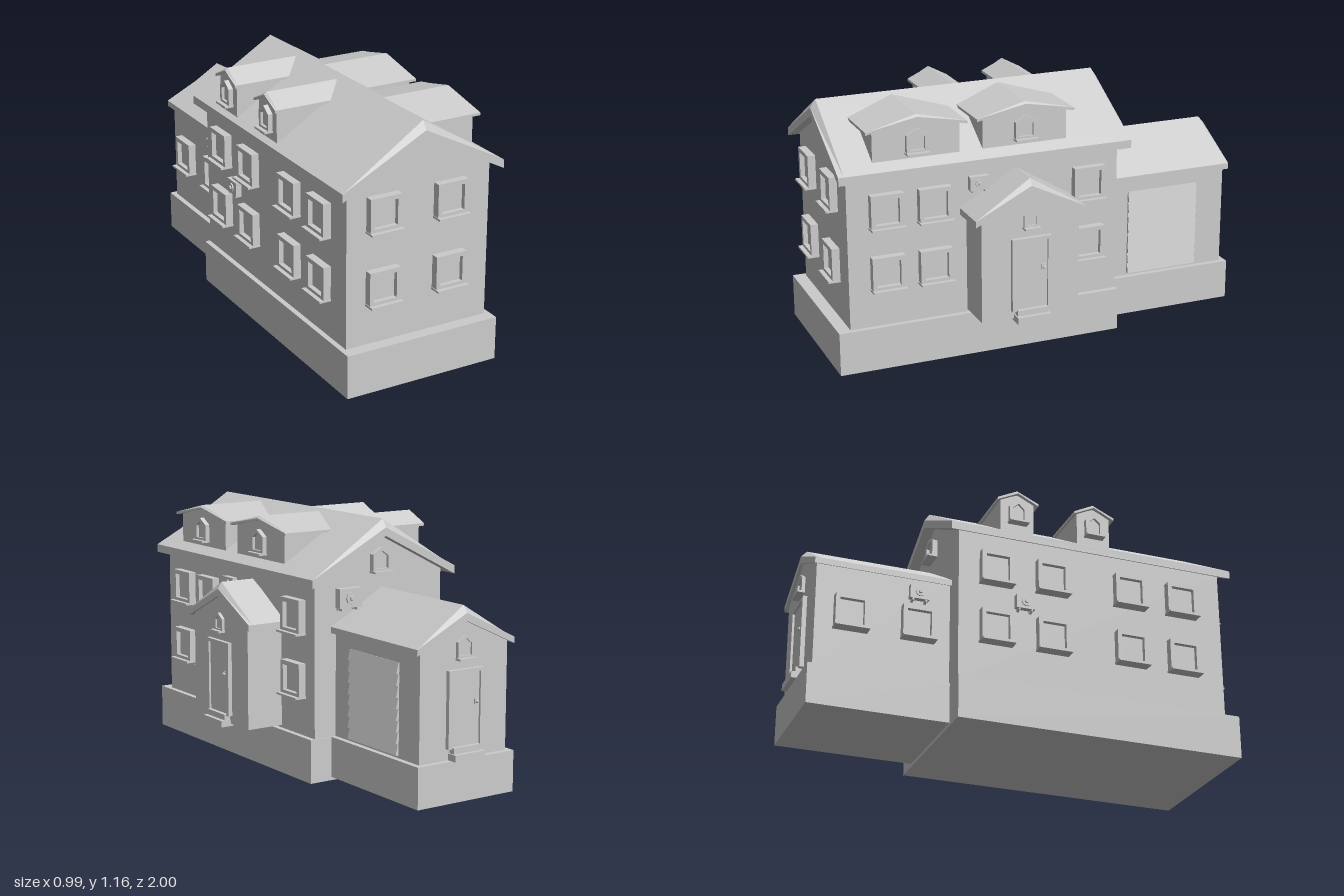
import * as THREE from 'three';

const mat = new THREE.MeshStandardMaterial({ color: 0xcccccc, flatShading: true });

function add(parent, name, geo, x = 0, y = 0, z = 0) {
  const m = new THREE.Mesh(geo, mat);
  m.name = name;
  m.position.set(x, y, z);
  parent.add(m);
  return m;
}

// Box given by width, bottom, top and its z range
function slab(parent, name, x, w, y0, y1, z0, z1) {
  return add(parent, name, new THREE.BoxGeometry(w, y1 - y0, z1 - z0), x, (y0 + y1) / 2, (z0 + z1) / 2);
}

const extrude = (shape, depth) => new THREE.ExtrudeGeometry(shape, { depth, bevelEnabled: false });

// Five-sided outline: rectangle with a pointed top (flat when shoulder equals peak)
function outline(hw, y0, shoulder, peak) {
  return [[-hw, y0], [hw, y0], [hw, shoulder], [0, peak], [-hw, shoulder]].map(p => new THREE.Vector2(...p));
}

function gableWalls(parent, name, hw, y0, shoulder, peak, z0, z1) {
  add(parent, name, extrude(new THREE.Shape(outline(hw, y0, shoulder, peak)), z1 - z0), 0, 0, z0);
}

// Pitched roof slab along z, its top bevelled down towards both ends
function roof(parent, name, hw, eave0, eave1, under, ridge, drop, bevel, z0, z1) {
  const section = (z, d) => [
    [-hw, eave0, z], [0, under, z], [hw, eave0, z], [hw, eave1, z], [0, ridge - d, z], [-hw, eave1, z]];
  const rings = [section(z0, drop), section(z0 + bevel, 0), section(z1 - bevel, 0), section(z1, drop)];
  const pos = rings.flat(2), idx = [];
  for (let r = 0; r < 3; r++) {
    for (let i = 0; i < 6; i++) {
      const a = r * 6 + i, b = r * 6 + (i + 1) % 6;
      idx.push(a, b, b + 6, a, b + 6, a + 6);
    }
  }
  for (const [a, b, c] of [[0, 1, 4], [0, 4, 5], [1, 2, 3], [1, 3, 4]]) {
    idx.push(a + 18, b + 18, c + 18, c, b, a);
  }
  let geo = new THREE.BufferGeometry();
  geo.setAttribute('position', new THREE.Float32BufferAttribute(pos, 3));
  geo.setIndex(idx);
  geo = geo.toNonIndexed();
  geo.computeVertexNormals();
  add(parent, name, geo);
}

// Framed window with recessed pane and sill, built outward along +z
function windowUnit(parent, name, x, y0, w, h, rise, rim = 0.02, depth = 0.036) {
  const g = new THREE.Group();
  g.name = name;
  g.position.set(x, y0, 0);
  const frame = new THREE.Shape(outline(w / 2, 0, h - rise, h));
  const inner = outline(w / 2 - rim, rim, h - rise - rim * (rise ? 0.6 : 1), h - rim);
  frame.holes.push(new THREE.Path(inner));
  add(g, 'windowFrame', extrude(frame, depth + 0.01), 0, 0, -0.01);
  add(g, 'windowPane', extrude(new THREE.Shape(inner), depth * 0.4 + 0.01), 0, 0, -0.01);
  slab(g, 'windowSill', 0, w + 0.006, -0.003, 0.006, -0.01, depth + 0.02);
  parent.add(g);
}

const squareWindow = (p, x, yMid) => windowUnit(p, 'window', x, yMid - 0.078, 0.15, 0.156, 0);

// Door with frame, panel, knob and two steps
function door(parent, x) {
  const g = new THREE.Group();
  g.name = 'door';
  g.position.x = x;
  const frame = new THREE.Shape(outline(0.094, 0.25, 0.59, 0.59));
  frame.holes.push(new THREE.Path(outline(0.076, 0.255, 0.575, 0.575)));
  add(g, 'doorFrame', extrude(frame, 0.03), 0, 0, -0.01);
  slab(g, 'doorPanel', 0, 0.156, 0.252, 0.578, -0.01, 0.01);
  slab(g, 'knobPlate', 0.058, 0.02, 0.43, 0.455, 0.008, 0.016);
  add(g, 'doorKnob', new THREE.IcosahedronGeometry(0.009, 0), 0.058, 0.443, 0.02);
  slab(g, 'lowerStep', 0, 0.16, 0.2, 0.23, -0.015, 0.05);
  slab(g, 'upperStep', 0, 0.146, 0.228, 0.256, -0.01, 0.03);
  parent.add(g);
}

// Wall-mounted fan unit
function fanUnit(parent, x, y) {
  const g = new THREE.Group();
  g.name = 'fanUnit';
  g.position.set(x, y, 0);
  slab(g, 'fanHousing', 0, 0.088, -0.03, 0.034, 0.006, 0.032);
  const ring = add(g, 'fanRing', new THREE.CylinderGeometry(0.021, 0.021, 0.008, 8), 0, 0.002, 0.034);
  ring.rotation.x = Math.PI / 2;
  const hub = add(g, 'fanHub', new THREE.CylinderGeometry(0.008, 0.01, 0.008, 6), 0, 0.002, 0.041);
  hub.rotation.x = Math.PI / 2;
  for (const s of [-1, 1]) {
    slab(g, 'fanBracket', s * 0.03, 0.008, -0.04, -0.03, -0.01, 0.03);
    slab(g, 'wallMount', s * 0.03, 0.012, -0.04, 0.02, -0.01, 0.008);
  }
  parent.add(g);
}

// Dormer facing local +z; origin on its centre line
function dormer(parent, z, hw, roofHw, front, back, eave, peak, win) {
  const g = new THREE.Group();
  g.name = 'dormer';
  g.position.x = z;
  gableWalls(g, 'dormerWalls', hw, 0.93, eave + 0.01, peak - 0.02, back, front);
  roof(g, 'dormerRoof', roofHw, eave - 0.004, eave + 0.008, peak - 0.018, peak, 0.01, 0.012, back, front + 0.017);
  const face = new THREE.Group();
  face.name = 'dormerFace';
  face.position.z = front;
  windowUnit(face, 'dormerWindow', 0, 0.98, win, 0.112, 0.03, 0.016, 0.022);
  g.add(face);
  parent.add(g);
}

export function createModel() {
  const house = new THREE.Group();
  house.name = 'house';
  const cx = -0.083;

  // A wall plane: local +z points out of the wall
  const wall = (name, angle, x, z) => {
    const g = new THREE.Group();
    g.name = name;
    g.position.set(x, 0, z);
    g.rotation.y = angle;
    house.add(g);
    return g;
  };
  const R = Math.PI / 2;

  // Main block
  slab(house, 'mainFoundation', cx, 0.745, 0, 0.2, -0.345, 1);
  const main = wall('mainBlock', 0, cx, 0);
  gableWalls(main, 'mainWalls', 0.348, 0.19, 0.912, 1.095, -0.34, 0.942);
  roof(main, 'mainRoof', 0.392, 0.887, 0.925, 1.09, 1.165, 0.037, 0.025, -0.39, 0.985);

  // Rear extension
  slab(house, 'extensionFoundation', cx, 0.52, 0.015, 0.2, -0.98, -0.34);
  const ext = wall('extension', 0, cx, 0);
  gableWalls(ext, 'extensionWalls', 0.235, 0.19, 0.688, 0.8, -0.953, -0.33);
  roof(ext, 'extensionRoof', 0.262, 0.672, 0.7, 0.795, 0.86, 0.03, 0.027, -0.968, -0.33);

  // Porch
  const porch = wall('porch', R, 0, 0.16);
  gableWalls(porch, 'porchWalls', 0.232, 0.212, 0.69, 0.8, 0.25, 0.445);
  roof(porch, 'porchRoof', 0.262, 0.668, 0.698, 0.795, 0.858, 0.03, 0.02, 0.25, 0.458);
  const porchFace = wall('porchFace', R, 0.445, 0.16);
  door(porchFace, 0);
  windowUnit(porchFace, 'gableWindow', 0, 0.632, 0.07, 0.085, 0.025, 0.013, 0.015);

  // Windows and fans on the main walls
  const front = wall('frontFace', 0, 0, 0.942);
  const right = wall('sideFaceWithPorch', R, 0.265, 0);
  const left = wall('plainSideFace', -R, -0.431, 0);
  for (const y of [0.463, 0.793]) for (const x of [-0.262, 0.065]) squareWindow(front, x, y);
  for (const y of [0.453, 0.74]) {
    for (const z of [0.767, 0.545, -0.192]) squareWindow(right, -z, y);
    for (const z of [-0.167, 0.1, 0.48, 0.74]) squareWindow(left, z, y);
  }
  fanUnit(right, -0.34, 0.81);
  fanUnit(left, -0.035, 0.59);

  // Back gable of the main block
  const back = wall('mainBackFace', Math.PI, 0, -0.34);
  windowUnit(back, 'gableWindow', -cx, 0.925, 0.1, 0.112, 0.03, 0.016, 0.025);
  const backFan = new THREE.Group();
  backFan.name = 'largeFan';
  backFan.position.set(-0.1, 0.825, 0);
  backFan.scale.setScalar(1.35);
  fanUnit(backFan, 0, 0);
  back.add(backFan);

  // Extension openings
  const extBack = wall('extensionBackFace', Math.PI, cx, -0.953);
  door(extBack, 0);
  windowUnit(extBack, 'gableWindow', 0, 0.632, 0.09, 0.105, 0.03, 0.016, 0.015);
  const extLeft = wall('extensionPlainFace', -R, -0.318, 0);
  for (const z of [-0.795, -0.49]) squareWindow(extLeft, z, 0.465);
  fanUnit(extLeft, -0.49, 0.61);

  // Garage door of tilted slats
  const garage = wall('garageDoor', R, 0.152, -0.633);
  const slatH = 0.405 / 8;
  for (let i = 0; i < 8; i++) {
    const s = add(garage, 'garageSlat', new THREE.BoxGeometry(0.355, slatH, 0.014), 0, 0.212 + slatH * (i + 0.5), 0.004);
    s.rotation.x = -0.22;
  }

  // Dormers, wide on the porch side and narrow on the other
  const rightRoof = wall('wideDormers', R, 0, 0);
  for (const z of [0.617, 0.11]) dormer(rightRoof, -z, 0.2, 0.232, 0.258, -0.08, 1.09, 1.153, 0.1);
  const leftRoof = wall('narrowDormers', -R, 0, 0);
  for (const z of [-0.07, 0.303]) dormer(leftRoof, z, 0.08, 0.098, 0.45, 0.1, 1.088, 1.15, 0.085);

  return house;
}
